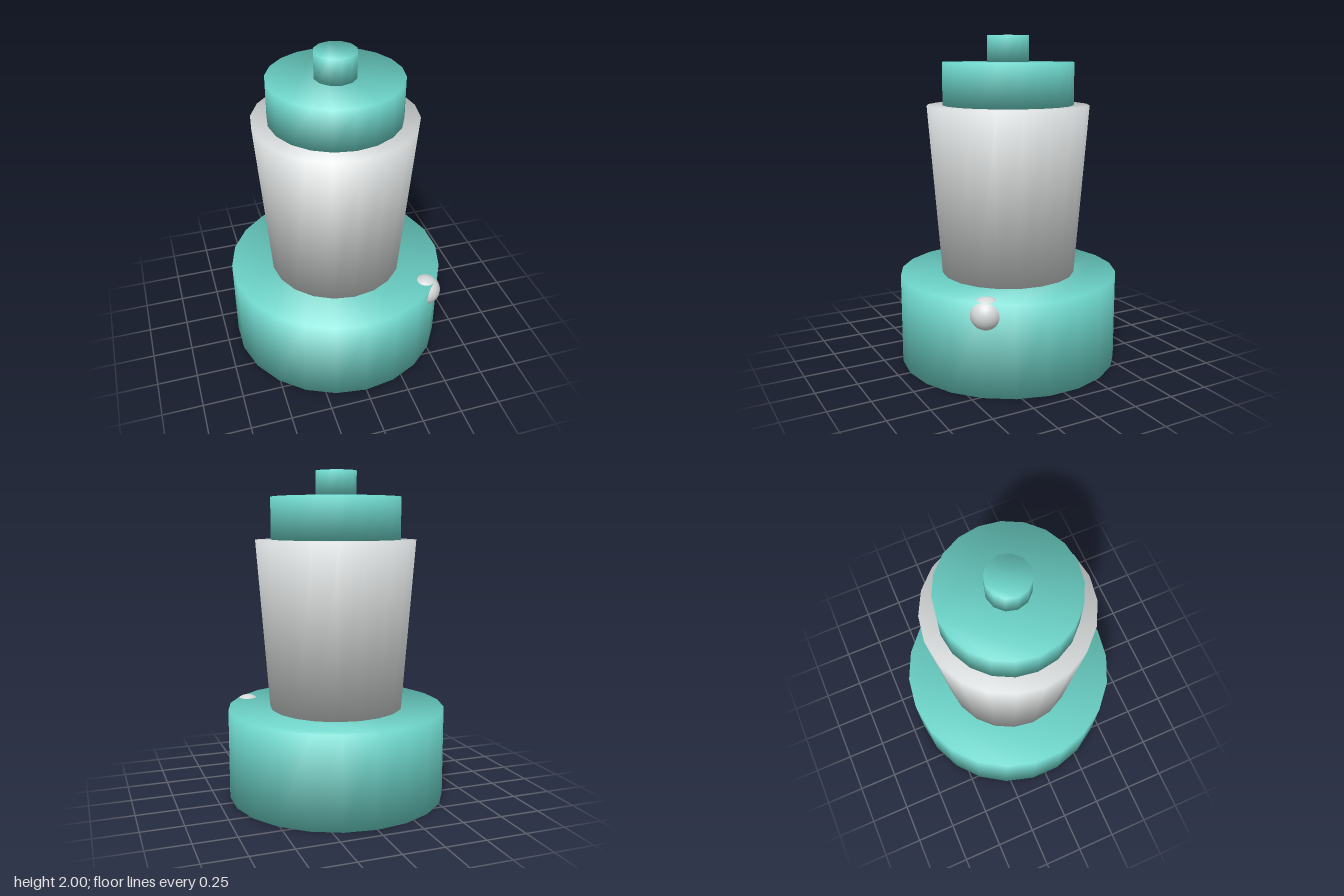
import * as THREE from 'three';

const teal = new THREE.MeshStandardMaterial({ color: 0x6dd5ca });
teal.name = 'teal';
const grey = new THREE.MeshStandardMaterial({ color: 0xd6d9d9 });
grey.name = 'lightGrey';

// Closed drum with flat caps whose normals blend smoothly round the rims.
// The first corner of each rim points to the back (-z).
function drum(sides, bottomRadius, topRadius, y0, y1) {
  const positions = [], normals = [], index = [];
  const rims = [[bottomRadius, y0, -1], [topRadius, y1, 1]];
  for (const [radius, y, up] of rims) {
    for (let i = 0; i < sides; i++) {
      const a = (i / sides) * Math.PI * 2;
      const x = Math.sin(a), z = -Math.cos(a);
      positions.push(x * radius, y, z * radius);
      normals.push(x * Math.SQRT1_2, up * Math.SQRT1_2, z * Math.SQRT1_2);
    }
  }
  for (let i = 0; i < sides; i++) {
    const j = (i + 1) % sides;
    index.push(i, sides + i, j, j, sides + i, sides + j);
  }
  for (let i = 1; i < sides - 1; i++) {
    index.push(0, i, i + 1);
    index.push(sides, sides + i + 1, sides + i);
  }
  const geometry = new THREE.BufferGeometry();
  geometry.setAttribute('position', new THREE.Float32BufferAttribute(positions, 3));
  geometry.setAttribute('normal', new THREE.Float32BufferAttribute(normals, 3));
  geometry.setIndex(index);
  return geometry;
}

export function createModel() {
  const model = new THREE.Group();
  model.name = 'blender';

  function add(name, geometry, material) {
    const mesh = new THREE.Mesh(geometry, material);
    mesh.name = name;
    model.add(mesh);
    return mesh;
  }

  // Stacked body, from the motor base up to the lid knob
  add('motorBase', drum(22, 0.673, 0.673, 0, 0.557), teal);
  add('jar', drum(20, 0.413, 0.492, 0.557, 1.59), grey);
  add('lid', drum(20, 0.397, 0.397, 1.59, 1.845), teal);
  add('lidKnob', drum(12, 0.126, 0.126, 1.845, 2), teal);

  // Round button set into the front left rim of the base
  add('button', new THREE.SphereGeometry(0.095, 24, 16), grey)
    .position.set(0.475, 0.48, 0.395);

  return model;
}
